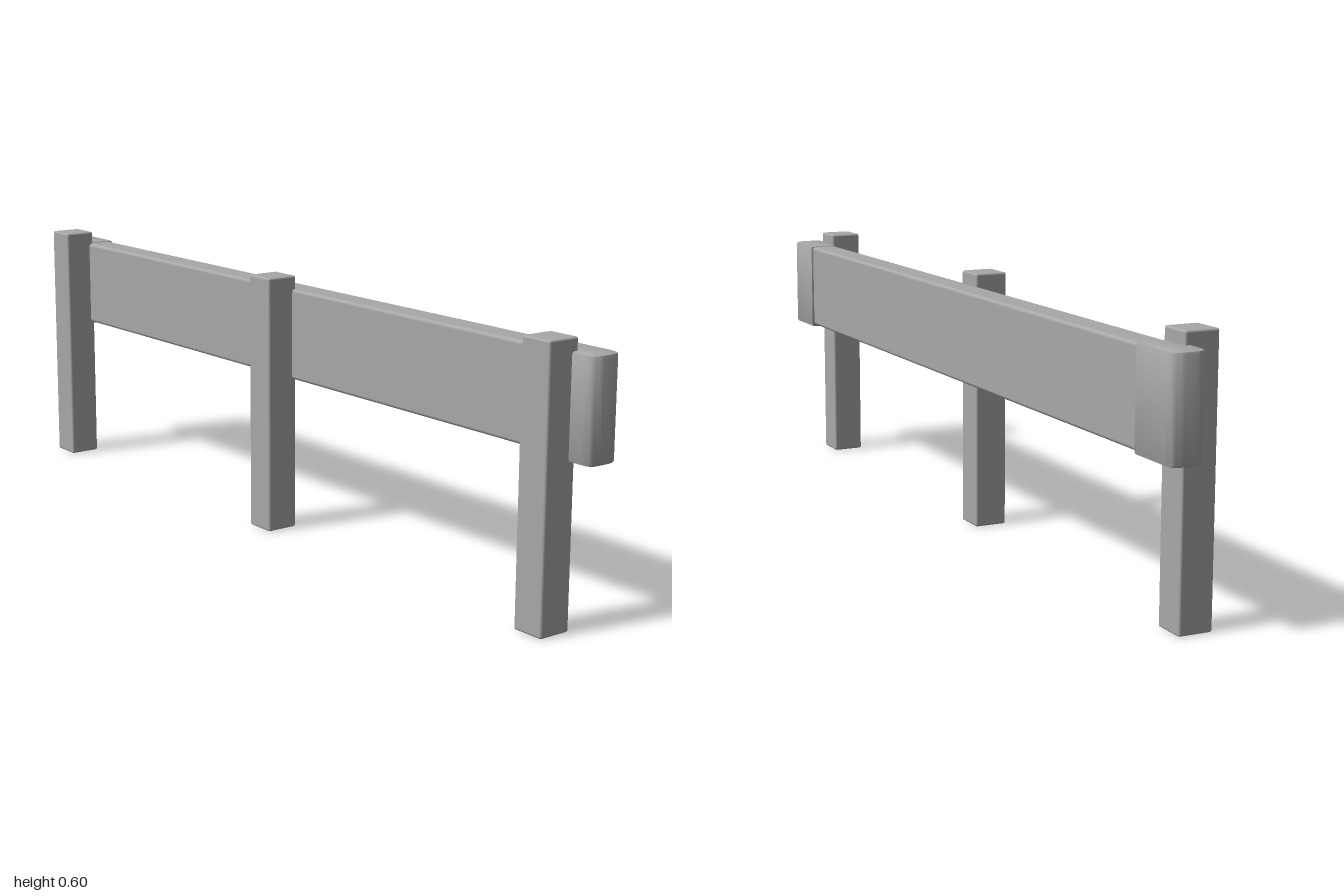
import * as THREE from 'three';
import { toCreasedNormals } from 'three/addons/utils/BufferGeometryUtils.js';
import { RoundedBoxGeometry } from 'three/addons/geometries/RoundedBoxGeometry.js';

// Plan outline (x, z) of an end cap: flat inner end, rounded outer end
function capGeometry(halfWidth, inner, outer, height) {
  const r = 0.027, bevel = 0.006;
  const plan = new THREE.Shape();
  plan.moveTo(-halfWidth, inner);
  plan.lineTo(halfWidth, inner);
  plan.lineTo(halfWidth, outer - r);
  plan.quadraticCurveTo(halfWidth, outer, halfWidth - r, outer);
  plan.lineTo(-halfWidth + r, outer);
  plan.quadraticCurveTo(-halfWidth, outer, -halfWidth, outer - r);
  const geometry = new THREE.ExtrudeGeometry(plan, {
    depth: height - 2 * bevel, curveSegments: 5,
    bevelEnabled: true, bevelSize: bevel, bevelThickness: bevel,
    bevelOffset: -bevel, bevelSegments: 2,
  });
  geometry.translate(0, 0, bevel - height / 2);
  geometry.rotateX(Math.PI / 2);
  return toCreasedNormals(geometry, 0.7);
}

export function createModel() {
  const model = new THREE.Group();
  const metal = new THREE.MeshStandardMaterial({ color: 0xa8a8a8 });
  metal.name = 'grey metal';

  function add(name, geometry, x, y, z) {
    const mesh = new THREE.Mesh(geometry, metal);
    mesh.name = name;
    mesh.position.set(x, y, z);
    model.add(mesh);
    return mesh;
  }

  // Three square posts behind the rail
  const postGeometry = new RoundedBoxGeometry(0.077, 0.6, 0.077, 2, 0.005);
  [['frontPost', 0.902], ['middlePost', 0], ['backPost', -0.902]].forEach(
    ([name, z]) => add(name, postGeometry, -0.0315, 0.3, z));

  // Long horizontal rail
  add('rail', new RoundedBoxGeometry(0.067, 0.212, 1.96, 2, 0.008), 0.0295, 0.463, 0);

  // Slightly larger caps wrapping both rail ends
  const cap = capGeometry(0.039, 0.865, 1, 0.22);
  add('frontEndCap', cap, 0.029, 0.462, 0);
  add('backEndCap', cap, 0.029, 0.462, 0).rotation.y = Math.PI;

  return model;
}
